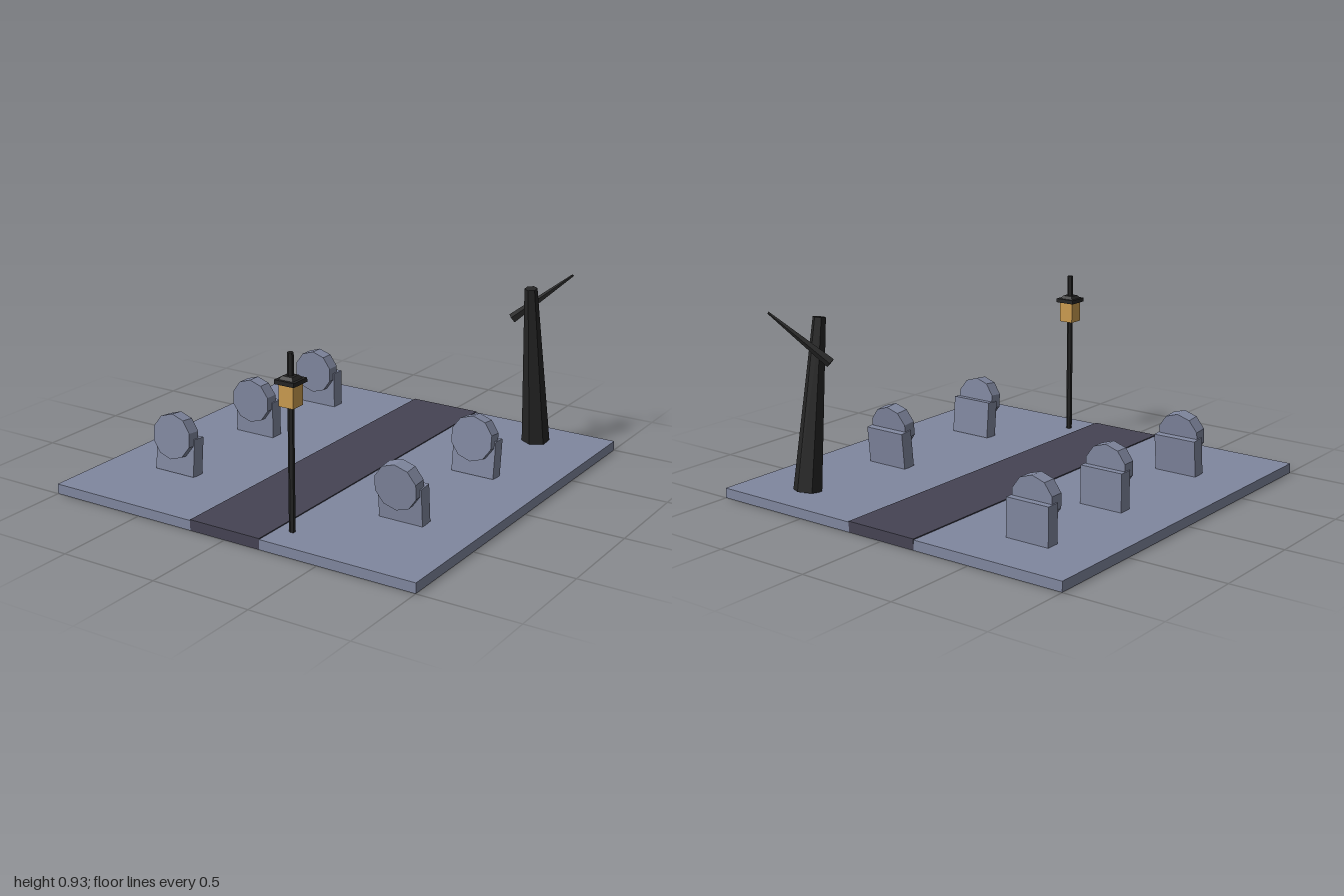
import * as THREE from 'three';

function material(name, color) {
  const m = new THREE.MeshStandardMaterial({ color, flatShading: true });
  m.name = name;
  return m;
}

export function createModel() {
  const stone = material('blueGreyStone', 0x80879f);
  const pathMat = material('darkPath', 0x454353);
  const black = material('charredBlack', 0x252525);
  const amber = material('amberGlow', 0xcb9c50);

  const model = new THREE.Group();
  model.name = 'graveyard';

  const add = (parent, name, geometry, mat, x, y, z) => {
    const mesh = new THREE.Mesh(geometry, mat);
    mesh.name = name;
    mesh.position.set(x, y, z);
    parent.add(mesh);
    return mesh;
  };

  // Ground slab, with a path set through it and standing slightly proud
  add(model, 'ground', new THREE.BoxGeometry(2, 0.05, 1.998), stone, 0, 0.025, 0);
  add(model, 'path', new THREE.BoxGeometry(0.386, 0.053, 2), pathMat, 0, 0.0285, 0);

  // Gravestones: upright block with a ten-sided disc against its front
  const block = new THREE.BoxGeometry(0.23, 0.19, 0.07);
  const disc = new THREE.CylinderGeometry(0.114, 0.114, 0.07, 10).rotateX(Math.PI / 2);
  const graves = [
    // x, z, lean about x
    [-0.615, -0.69, 0],
    [-0.615, -0.115, 0],
    [-0.615, 0.55, -0.1],
    [0.615, -0.218, -0.1],
    [0.615, 0.451, 0.09],
  ];
  for (const [x, z, lean] of graves) {
    const grave = new THREE.Group();
    grave.name = 'gravestone';
    grave.position.set(x, 0.05, z);
    grave.rotation.x = lean;
    add(grave, 'gravestoneBlock', block, stone, 0, 0.095, 0);
    add(grave, 'gravestoneDisc', disc, stone, 0, 0.19, 0.035);
    model.add(grave);
  }

  // Lamp post with a square lantern and hipped cap
  const lamp = new THREE.Group();
  lamp.name = 'lampPost';
  lamp.position.set(0.267, 0, 0.847);
  add(lamp, 'lampPole', new THREE.CylinderGeometry(0.015, 0.015, 0.845, 6), black, 0, 0.4695, 0);
  add(lamp, 'lantern', new THREE.BoxGeometry(0.077, 0.105, 0.077), amber, 0, 0.7, 0);
  add(lamp, 'lampCap', new THREE.BoxGeometry(0.104, 0.02, 0.104), black, 0, 0.762, 0);
  const roof = new THREE.CylinderGeometry(0.037, 0.055, 0.016, 4).rotateY(Math.PI / 4);
  add(lamp, 'lampRoof', roof, black, 0, 0.779, 0);
  model.add(lamp);

  // Dead tree: tapered limbs stretched between two points
  const limb = (name, from, to, r0, r1, sides) => {
    const a = new THREE.Vector3(...from);
    const b = new THREE.Vector3(...to);
    const dir = b.clone().sub(a);
    const geometry = new THREE.CylinderGeometry(r1, r0, dir.length(), sides);
    const mid = a.add(b).multiplyScalar(0.5);
    const mesh = add(model, name, geometry, black, mid.x, mid.y, mid.z);
    mesh.quaternion.setFromUnitVectors(new THREE.Vector3(0, 1, 0), dir.normalize());
  };
  limb('treeTrunk', [0.655, 0.052, -0.788], [0.655, 0.887, -0.67], 0.071, 0.032, 6);
  limb('treeBranch', [0.524, 0.695, -0.738], [0.783, 0.927, -0.879], 0.026, 0.006, 5);

  return model;
}
